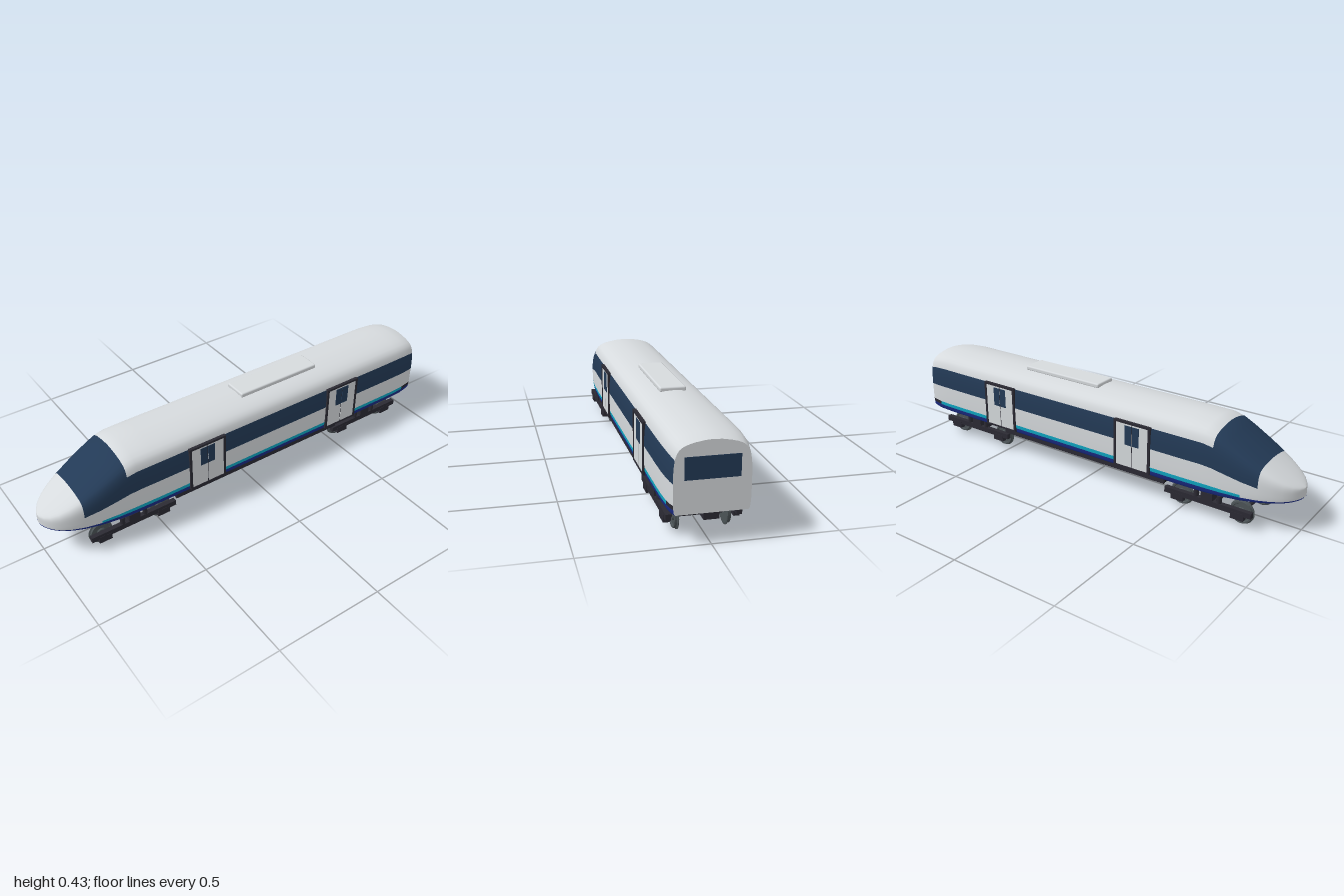
import * as THREE from 'three';
import { RoundedBoxGeometry } from 'three/addons/geometries/RoundedBoxGeometry.js';

// Half cross-section as fractions of half width and height, bottom edge to roof centre
const PROFILE = [[0.94, 0], [0.97, 0.025], [0.985, 0.08], [0.995, 0.14], [1, 0.28], [1, 0.433], [0.997, 0.55],
  [0.985, 0.65], [0.96, 0.75], [0.91, 0.83], [0.85, 0.88], [0.75, 0.92], [0.6, 0.952], [0.44, 0.973], [0.22, 0.993], [0, 1]];
// Stations along the car: z, half width, bottom, top
const STATIONS = [[-1, 0.146, 0.124, 0.402], [-0.975, 0.152, 0.122, 0.41], [-0.94, 0.157, 0.12, 0.416],
  [-0.88, 0.161, 0.12, 0.42], [-0.8, 0.162, 0.12, 0.42], [0.5, 0.162, 0.12, 0.42], [0.6, 0.161, 0.121, 0.419],
  [0.65, 0.159, 0.122, 0.407], [0.7, 0.156, 0.124, 0.38], [0.78, 0.148, 0.129, 0.333], [0.85, 0.135, 0.136, 0.291],
  [0.9, 0.118, 0.141, 0.262], [0.94, 0.097, 0.145, 0.238], [0.97, 0.071, 0.149, 0.22],
  [0.988, 0.044, 0.151, 0.208], [0.997, 0.022, 0.153, 0.202], [1, 0.01, 0.155, 0.199]];

const ring = ([z, w, b, t]) => {
  const half = PROFILE.map(([u, v]) => [u * w, b + v * (t - b), z]);
  return [...half, ...half.slice(0, -1).reverse().map(([x, y]) => [-x, y, z])];
};

export function createModel() {
  const model = new THREE.Group();
  model.name = 'trainCar';
  const mat = (name, color) => Object.assign(new THREE.MeshStandardMaterial({ color }), { name });
  const white = mat('bodyWhite', 0xd6dadd), navy = mat('glassNavy', 0x233a56), cyan = mat('stripeCyan', 0x10a8c4),
    blue = mat('stripeBlue', 0x1b2c86), dark = mat('underframeGrey', 0x2b2a33), black = mat('underbodyBlack', 0x18181b),
    steel = mat('wheelSteel', 0x4b5356);

  const add = (parent, name, geometry, material, x = 0, y = 0, z = 0) => {
    const mesh = new THREE.Mesh(geometry, material);
    mesh.name = name;
    mesh.position.set(x, y, z);
    parent.add(mesh);
    return mesh;
  };
  // Box given by its lower and upper limits
  const box = (parent, name, material, [x0, x1], [y0, y1], [z0, z1]) =>
    add(parent, name, new THREE.BoxGeometry(x1 - x0, y1 - y0, z1 - z0), material,
      (x0 + x1) / 2, (y0 + y1) / 2, (z0 + z1) / 2);
  const group = (name, z = 0) => {
    const g = new THREE.Group();
    g.name = name;
    g.position.z = z;
    model.add(g);
    return g;
  };

  // Body shell: lofted rings, coloured in bands of height
  const skins = [white, navy, cyan, blue, dark];
  const bandColour = (v, z) => {
    if (v < 0.08) return 3;
    if (v < 0.14) return z < -0.94 ? 4 : z < 0.78 ? 2 : 0;
    if (z > 0.65 && z < 0.85) return v > 0.433 ? 1 : 0;
    return z < 0.65 && v > 0.433 && v < 0.75 ? 1 : 0;
  };
  const rings = STATIONS.map(ring), n = rings[0].length, lists = skins.map(() => []);
  for (let i = 0; i < rings.length - 1; i++) {
    const z = (STATIONS[i][0] + STATIONS[i + 1][0]) / 2;
    for (let j = 0; j < n - 1; j++) {
      const k = Math.min(j, n - 2 - j), v = (PROFILE[k][1] + PROFILE[k + 1][1]) / 2;
      const a = i * n + j, b = a + n;
      lists[bandColour(v, z)].push(a, a + 1, b, a + 1, b + 1, b);
    }
  }
  const shell = new THREE.BufferGeometry();
  shell.setAttribute('position', new THREE.Float32BufferAttribute(rings.flat(2), 3));
  shell.setIndex(lists.flat());
  let start = 0;
  lists.forEach((l, m) => { shell.addGroup(start, l.length, m); start += l.length; });
  shell.computeVertexNormals();
  add(model, 'bodyShell', shell, skins);

  // Flat underside
  const floorIndex = [];
  for (let i = 0; i < rings.length - 1; i++) {
    const l = 2 * i;
    floorIndex.push(l, l + 1, l + 2, l + 1, l + 3, l + 2);
  }
  const floor = new THREE.BufferGeometry();
  floor.setAttribute('position', new THREE.Float32BufferAttribute(rings.flatMap(r => [...r[n - 1], ...r[0]]), 3));
  floor.setIndex(floorIndex);
  floor.computeVertexNormals();
  add(model, 'underside', floor, black);

  // End caps and rear window
  const cap = r => new THREE.ShapeGeometry(new THREE.Shape(r.map(([x, y]) => new THREE.Vector2(x, y))));
  add(model, 'rearWall', cap(rings[0]), white, 0, 0, -1).rotation.y = Math.PI;
  add(model, 'noseTip', cap(rings[rings.length - 1]), white, 0, 0, 1);
  box(model, 'rearWindow', navy, [-0.105, 0.105], [0.255, 0.342], [-1.002, -0.997]);

  // Roof unit
  add(model, 'roofUnit', new RoundedBoxGeometry(0.112, 0.022, 0.43, 3, 0.007), white, 0, 0.423, -0.215);

  // Double doors on both sides
  for (const z of [0.26, -0.512]) for (const s of [1, -1]) {
    const door = group(s > 0 ? 'leftDoor' : 'rightDoor', z);
    const slab = (name, m, depth, y, zz) => box(door, name, m, s > 0 ? [0.145, depth] : [-depth, -0.145], y, zz);
    slab('doorBacking', dark, 0.164, [0.128, 0.346], [-0.092, 0.092]);
    for (const e of [1, -1]) {
      const span = (a, b) => e > 0 ? [a, b] : [-b, -a];
      slab('doorLeaf', white, 0.1655, [0.134, 0.34], span(0.002, 0.083));
      slab('doorWindow', navy, 0.1665, [0.238, 0.33], span(0.002, 0.037));
      slab('doorPost', dark, 0.1685, [0.126, 0.349], span(0.083, 0.094));
    }
    slab('doorHeader', dark, 0.1685, [0.339, 0.349], [-0.094, 0.094]);
    slab('doorSill', dark, 0.1685, [0.126, 0.134], [-0.094, 0.094]);
  }

  // Underframe with side sills, and rear coupler
  box(model, 'underframe', black, [-0.14, 0.14], [0.1, 0.123], [-0.5, 0.42]);
  for (const s of [1, -1]) box(model, 'sideSill', dark, [s * 0.144 - 0.006, s * 0.144 + 0.006], [0.097, 0.126], [-0.5, 0.42]);
  box(model, 'rearCoupler', dark, [-0.03, 0.03], [0.095, 0.125], [-0.995, -0.91]);

  // Two bogies
  const wheelProfile = [[0, -0.008], [0.05, -0.008], [0.056, -0.006], [0.056, -0.003], [0.051, 0], [0.05, 0.009],
    [0.043, 0.009], [0.04, 0.004], [0.022, 0.004], [0.018, 0.01], [0, 0.01]].map(p => new THREE.Vector2(...p));
  const wheelGeometry = new THREE.LatheGeometry(wheelProfile, 28).toNonIndexed();
  wheelGeometry.computeVertexNormals();
  const axleGeometry = new THREE.CylinderGeometry(0.01, 0.01, 0.24, 14);
  const springGeometry = new THREE.CylinderGeometry(0.011, 0.011, 0.034, 14);
  for (const centre of [0.63, -0.697]) {
    const bogie = group('bogie', centre);
    box(bogie, 'bolster', dark, [-0.149, 0.149], [0.086, 0.119], [-0.027, 0.027]);
    box(bogie, 'crossBeam', dark, [-0.135, 0.135], [0.064, 0.084], [-0.03, 0.03]);
    add(bogie, 'pivot', new THREE.CylinderGeometry(0.03, 0.03, 0.025, 20), dark, 0, 0.12, 0);
    for (const s of [1, -1]) {
      box(bogie, 'sideFrame', dark, [s * 0.137 - 0.011, s * 0.137 + 0.011], [0.061, 0.086], [-0.207, 0.207]);
      for (const e of [1, -1]) {
        const z = e * 0.144;
        box(bogie, 'axleBox', dark, [s * 0.137 - 0.012, s * 0.137 + 0.012], [0.04, 0.072], [z - 0.03, z + 0.03]);
        add(bogie, 'spring', springGeometry, dark, s * 0.137, 0.102, e * 0.055);
        add(bogie, 'wheel', wheelGeometry, steel, s * 0.1, 0.056, z).rotation.z = -s * Math.PI / 2;
      }
    }
    for (const e of [1, -1]) add(bogie, 'axle', axleGeometry, dark, 0, 0.056, e * 0.144).rotation.z = Math.PI / 2;
  }
  return model;
}
